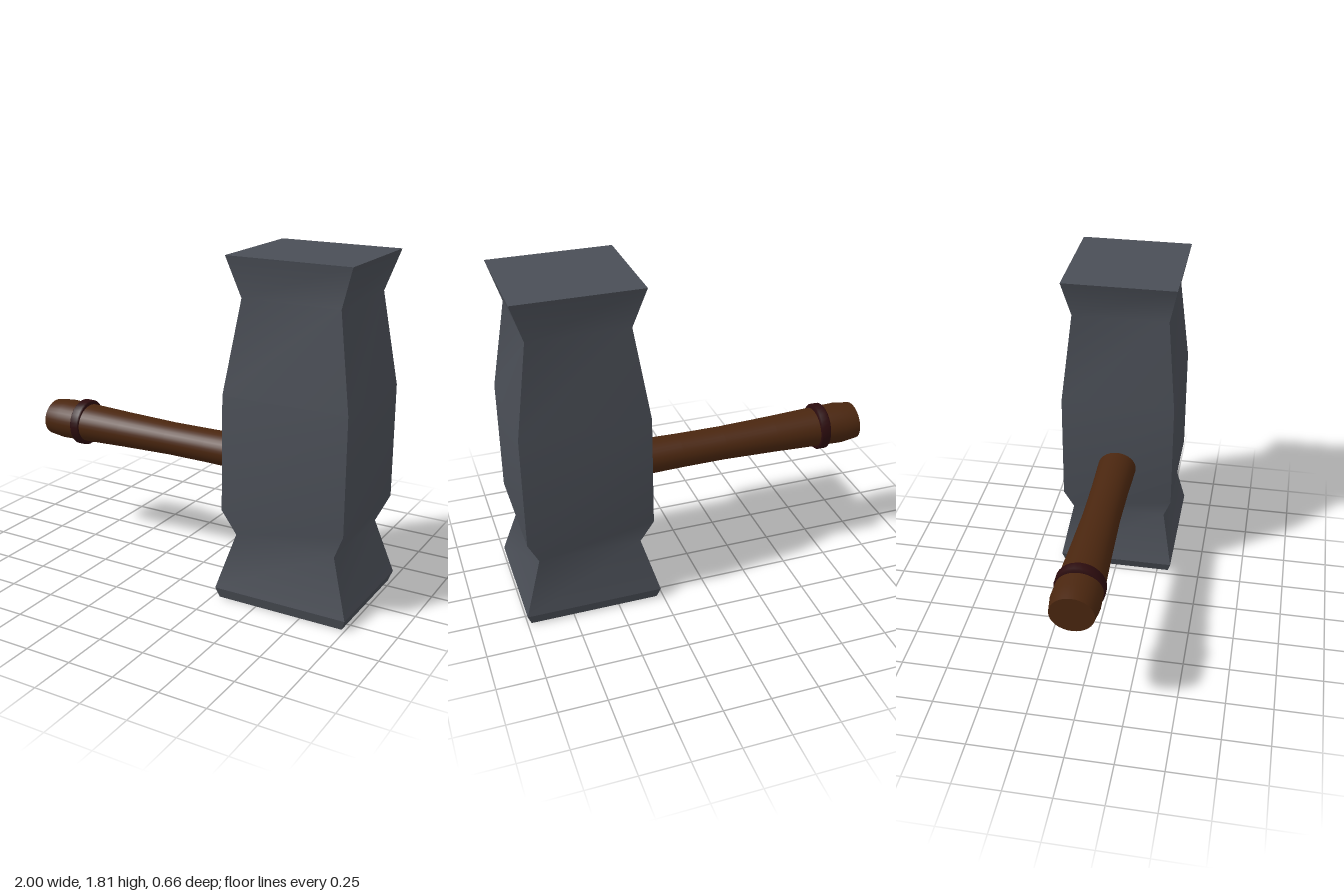
import * as THREE from 'three';

const steel = new THREE.MeshStandardMaterial({ name: 'darkSteel', color: 0x4a4e56 });
const wood = new THREE.MeshStandardMaterial({ name: 'brownWood', color: 0x4a260f });
const leather = new THREE.MeshStandardMaterial({ name: 'darkLeather', color: 0x2c0c0e });

const CORNERS = [[-1, 1], [1, 1], [1, -1], [-1, -1]];

// Cross-sections of the head: [y, xMin, xMax, half depth]
const BASE = [0, 0.285, 0.98, 0.315];
const FOOT = [0.055, 0.265, 1.0, 0.33];
const TOP = [1.81, 0.3, 0.96, 0.31];
const BODY = [
  FOOT,
  [0.355, 0.355, 0.905, 0.27],
  [0.495, 0.293, 0.968, 0.315],
  [1.11, 0.293, 0.968, 0.315],
  [1.6, 0.368, 0.892, 0.265],
  TOP,
];

const corner = ([y, x0, x1, z], [sx, sz]) => [sx < 0 ? x0 : x1, y, sz * z];

function surface(points, index) {
  const g = new THREE.BufferGeometry();
  g.setAttribute('position', new THREE.Float32BufferAttribute(points.flat(), 3));
  g.setIndex(index);
  g.computeVertexNormals();
  return g;
}

// One wall of the head: smooth up its height, sharp at its corners
function wall(levels, side) {
  const points = [], index = [];
  levels.forEach((level, i) => {
    points.push(corner(level, CORNERS[side]), corner(level, CORNERS[(side + 1) % 4]));
    const a = i * 2;
    if (i < levels.length - 1) index.push(a, a + 1, a + 3, a, a + 3, a + 2);
  });
  return surface(points, index);
}

function cap(level, up) {
  return surface(CORNERS.map((c) => corner(level, c)), up ? [0, 1, 2, 0, 2, 3] : [0, 2, 1, 0, 3, 2]);
}

function add(parent, name, geometry, material) {
  const mesh = new THREE.Mesh(geometry, material);
  mesh.name = name;
  parent.add(mesh);
  return mesh;
}

// Lathe whose profile [x, radius] runs along the x axis
function turned(profile, depthScale) {
  const g = new THREE.LatheGeometry(profile.map(([x, r]) => new THREE.Vector2(r, x)), 32);
  return g.rotateZ(-Math.PI / 2).scale(1, 1, depthScale);
}

export function createModel() {
  const model = new THREE.Group();
  model.name = 'hammer';

  // Head
  const head = new THREE.Group();
  head.name = 'head';
  model.add(head);
  for (let side = 0; side < 4; side++) {
    add(head, 'headWall', wall(BODY, side), steel);
    add(head, 'strikingFaceBevel', wall([BASE, FOOT], side), steel);
  }
  add(head, 'strikingFace', cap(BASE, false), steel);
  add(head, 'headTop', cap(TOP, true), steel);

  // Oval handle, swelling towards the grip, with a flat end
  const handle = new THREE.Group();
  handle.name = 'handle';
  handle.position.y = 0.705;
  model.add(handle);
  add(handle, 'shaft', turned([
    [-1, 0.1], [-0.91, 0.111], [-0.75, 0.106], [-0.5, 0.097],
    [-0.2, 0.089], [0.05, 0.09], [0.35, 0.096],
  ], 1.14), wood);
  const end = add(handle, 'shaftEnd', new THREE.CircleGeometry(0.1, 32), wood);
  end.rotation.y = -Math.PI / 2;
  end.scale.x = 1.14;
  end.position.x = -1;

  // Band round the grip
  add(handle, 'gripBand', turned([
    [-0.815, 0.1], [-0.815, 0.122], [-0.807, 0.13], [-0.763, 0.13], [-0.755, 0.122], [-0.755, 0.1],
  ], 1), leather);

  return model;
}
